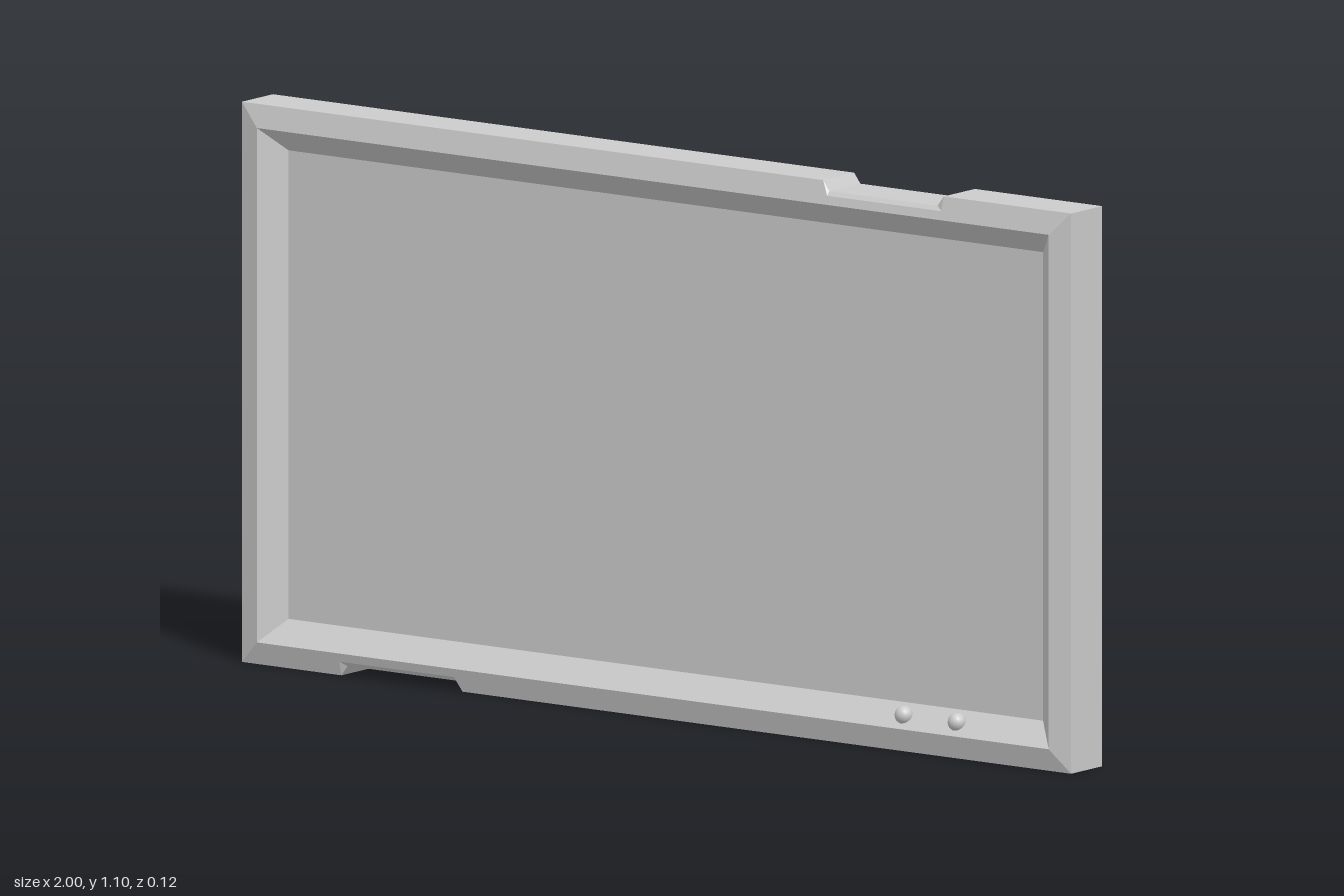
import * as THREE from 'three';

const W = 1, H = 1.1;      // half width, full height
const PANEL_Z = 0.02;      // half thickness of the recessed panel
const BORDER = 0.09;       // frame width, outer edge to panel

// Rail cross-section [inset from the outer edge, z], front to back; notchInset replaces it in a notch
const front = [[BORDER, PANEL_Z], [0.045, 0.062], [0.028, 0.0575], [0, 0.05]];
const profile = [...front, ...front.map(([o, z]) => [o, -z]).reverse()];
const NOTCH_DEPTH = 0.02;

// Stations round the frame: x, y, inward direction and notch depth
const station = (x, y, dx, dy, depth = 0) => ({ x, y, dx, dy, depth });

function notch(x0, x1, y, dy) {
  const s = Math.sign(x1 - x0) * 0.015;
  return [
    station(x0, y, 0, dy),
    station(x0 + s, y, 0, dy, NOTCH_DEPTH),
    station(x1 - s, y, 0, dy, NOTCH_DEPTH),
    station(x1, y, 0, dy),
  ];
}

function frameGeometry() {
  const stations = [
    station(-W, 0, 1, 1),
    ...notch(-0.76, -0.468, 0, 1),
    station(W, 0, -1, 1),
    station(W, H, -1, -1),
    ...notch(0.693, 0.402, H, -1),
    station(-W, H, 1, -1),
  ];
  const point = (s, [inset, z]) => {
    const o = Math.max(inset, s.depth);
    return [s.x + s.dx * o, s.y + s.dy * o, z];
  };
  const positions = [];
  stations.forEach((s, i) => {
    const t = stations[(i + 1) % stations.length];
    for (let j = 0; j < profile.length - 1; j++) {
      const a = point(s, profile[j]), b = point(s, profile[j + 1]);
      const c = point(t, profile[j + 1]), d = point(t, profile[j]);
      positions.push(...a, ...b, ...c, ...a, ...c, ...d);
    }
  });
  const geometry = new THREE.BufferGeometry();
  geometry.setAttribute('position', new THREE.Float32BufferAttribute(positions, 3));
  geometry.computeVertexNormals();
  return geometry;
}

export function createModel() {
  const model = new THREE.Group();
  model.name = 'framedPanel';
  const flat = new THREE.MeshStandardMaterial({ color: 0xcccccc, flatShading: true });
  const smooth = new THREE.MeshStandardMaterial({ color: 0xcccccc });

  const add = (name, geometry, material, x, y, z) => {
    const mesh = new THREE.Mesh(geometry, material);
    mesh.name = name;
    mesh.position.set(x, y, z);
    model.add(mesh);
  };

  // Bevelled frame with a notch in the top and bottom rails
  add('frame', frameGeometry(), flat, 0, 0, 0);

  // Recessed panel, the same on both sides
  add('panel', new THREE.BoxGeometry(2 * (W - BORDER), H - 2 * BORDER, 2 * PANEL_Z), flat, 0, H / 2, 0);

  // Two small buttons on the lower front slope
  const button = new THREE.SphereGeometry(0.018, 16, 12);
  [0.592, 0.72].forEach((x, i) => add(`button${i + 1}`, button, smooth, x, 0.07, 0.044));

  return model;
}
